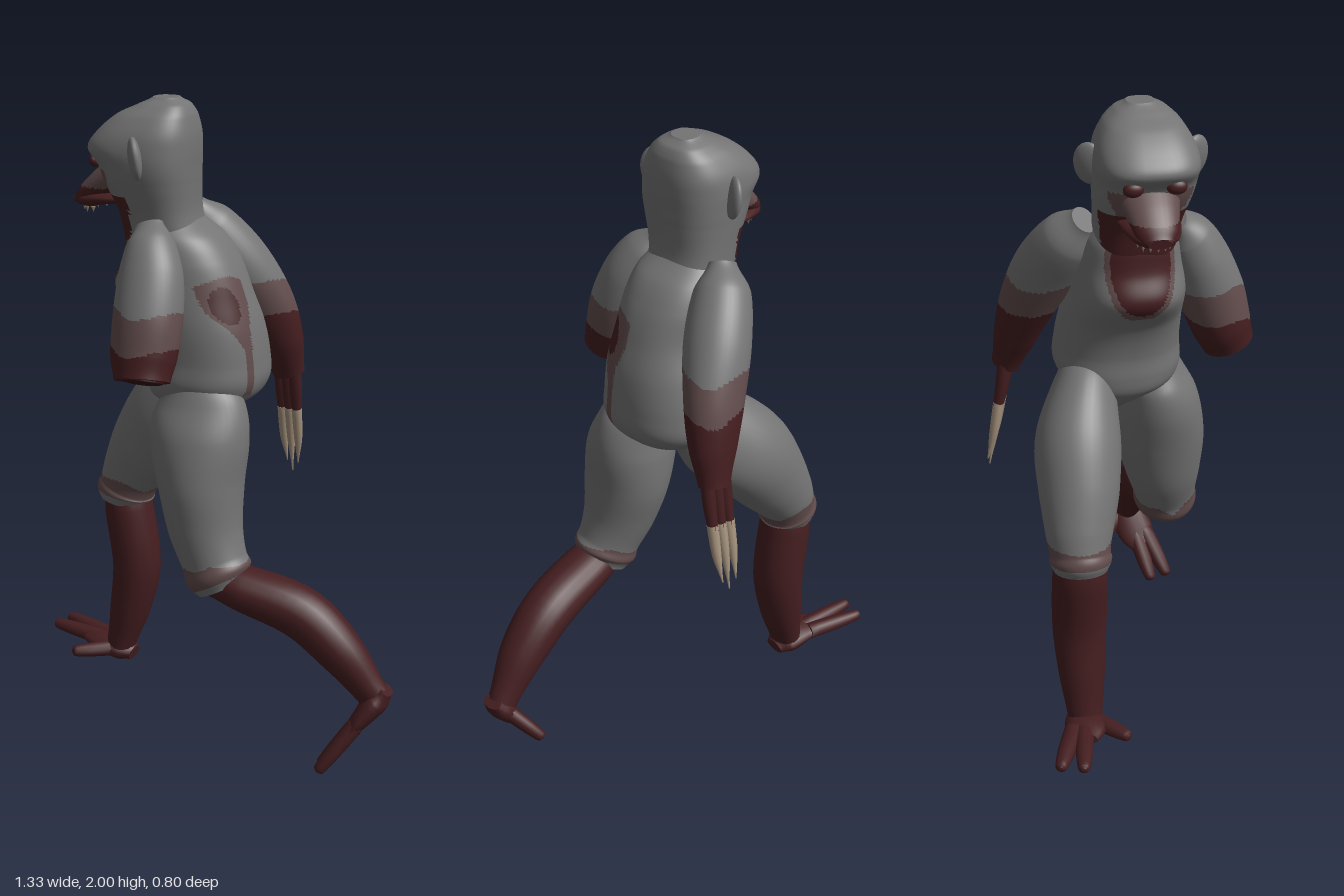
import * as THREE from 'three';

const mat = (name, color) => {
  const m = new THREE.MeshStandardMaterial({ color });
  m.name = name;
  return m;
};

export function createModel() {
  const model = new THREE.Group();
  const MATS = [
    mat('greySkin', 0x747474), mat('stainedSkin', 0x624c4c), mat('bloodRed', 0x451e20),
    mat('deepWound', 0x33100f), mat('bone', 0xa8957f),
  ];
  const [GREY, STAIN, RED, DEEP, BONE] = [0, 1, 2, 3, 4];
  const UP = new THREE.Vector3(0, 1, 0), Z = new THREE.Vector3(0, 0, 1);
  const smooth = THREE.MathUtils.smoothstep;

  // Smooth loft along points [x, y, z, r, rz]; rule(x, y, z) picks the colour of each face.
  function loft(name, pts, rule, { rings = 24, sides = 20, fixed = null, power = 1, parent = model } = {}) {
    const pick = typeof rule === 'function' ? rule : () => rule;
    const path = new THREE.CatmullRomCurve3(pts.map(p => new THREE.Vector3(p[0], p[1], p[2])), false, 'centripetal');
    const size = new THREE.SplineCurve(pts.map(p => new THREE.Vector2(p[3], p[4] ?? p[3])));
    const pos = [], faces = MATS.map(() => []);
    const bend = v => Math.sign(v) * Math.abs(v) ** power;
    for (let i = 0; i <= rings; i++) {
      const c = path.getPoint(i / rings), s = size.getPoint(i / rings);
      const T = fixed ?? path.getTangent(i / rings);
      const B = Z.clone().addScaledVector(T, -Z.dot(T)).normalize();
      const N = B.clone().cross(T);
      for (let j = 0; j < sides; j++) {
        const a = j / sides * Math.PI * 2;
        const p = c.clone().addScaledVector(N, bend(Math.cos(a)) * Math.max(s.x, 0.001))
          .addScaledVector(B, bend(Math.sin(a)) * Math.max(s.y, 0.001));
        pos.push(p.x, p.y, p.z);
      }
    }
    const add = (a, b, c) => {
      const m = k => (pos[a * 3 + k] + pos[b * 3 + k] + pos[c * 3 + k]) / 3;
      faces[pick(m(0), m(1), m(2))].push(a, b, c);
    };
    for (let i = 0; i < rings; i++) for (let j = 0; j < sides; j++) {
      const a = i * sides + j, b = i * sides + (j + 1) % sides;
      add(a, b, a + sides);
      add(b, b + sides, a + sides);
    }
    // flat end caps with their own corners
    for (const end of [0, rings]) {
      const base = pos.length / 3, c = path.getPoint(end / rings);
      for (let j = 0; j < sides; j++) for (let k = 0; k < 3; k++) pos.push(pos[(end * sides + j) * 3 + k]);
      pos.push(c.x, c.y, c.z);
      for (let j = 0; j < sides; j++) {
        const a = base + j, b = base + (j + 1) % sides;
        end ? add(a, b, base + sides) : add(b, a, base + sides);
      }
    }
    const g = new THREE.BufferGeometry();
    g.setAttribute('position', new THREE.Float32BufferAttribute(pos, 3));
    g.setIndex(faces.flat());
    let start = 0;
    faces.forEach((f, m) => { if (f.length) g.addGroup(start, f.length, m); start += f.length; });
    g.computeVertexNormals();
    const mesh = new THREE.Mesh(g, MATS);
    mesh.name = name;
    parent.add(mesh);
  }
  // Upright stack of sections [y, x0, x1, z0, z1]
  const stack = (name, rows, rule, opt) => loft(name,
    rows.map(([y, x0, x1, z0, z1]) => [(x0 + x1) / 2, y, (z0 + z1) / 2, (x1 - x0) / 2, (z1 - z0) / 2]),
    rule, { fixed: UP, ...opt });
  function ball(name, m, [x, y, z], [a, b, c], [rx, ry, rz] = [0, 0, 0]) {
    const mesh = new THREE.Mesh(new THREE.SphereGeometry(1, 20, 14), MATS[m]);
    mesh.position.set(x, y, z);
    mesh.scale.set(a, b, c);
    mesh.rotation.set(rx, ry, rz);
    mesh.name = name;
    model.add(mesh);
  }

  // Torso with an open chest and a stained wound running down the back
  stack('torso', [
    [1.02, -0.10, 0.03, -0.09, 0.01], [1.06, -0.14, 0.09, -0.125, 0.08], [1.1, -0.168, 0.16, -0.17, 0.16],
    [1.15, -0.175, 0.188, -0.198, 0.188],
    [1.22, -0.175, 0.187, -0.193, 0.185], [1.32, -0.205, 0.172, -0.175, 0.185], [1.43, -0.28, 0.137, -0.15, 0.18],
    [1.52, -0.25, 0.1, -0.14, 0.17], [1.59, -0.24, 0.05, -0.12, 0.155], [1.65, -0.22, -0.03, -0.08, 0.12],
  ], (x, y, z) => {
    if (x > 0) {
      if (((z - 0.12) / 0.036) ** 2 + ((y - 1.4) / 0.056) ** 2 < 1) return RED;
      const outer = 0.1 + 0.065 * smooth(y, 1.25, 1.4), inner = 0.068 - 0.03 * smooth(y, 1.3, 1.42);
      if (y > 1.12 && y < 1.485 - 6 * (z - 0.1) ** 2 && z > inner && z < outer) return STAIN;
    } else if (x < -0.15 && y > 1.38) {
      const d = ((z - 0.02) / 0.1) ** 2 + ((y - 1.54) / 0.16) ** 2;
      if (d < 0.8) return RED;
      if (d < 1.1) return STAIN;
    }
    return GREY;
  }, { rings: 110, sides: 112, power: 0.85 });

  // Head and neck
  stack('head', [
    [1.57, -0.24, 0.0, -0.1, 0.14], [1.66, -0.255, -0.02, -0.1, 0.155], [1.75, -0.295, -0.02, -0.105, 0.18],
    [1.8, -0.312, -0.018, -0.108, 0.19], [1.85, -0.347, -0.016, -0.11, 0.192], [1.9, -0.315, -0.018, -0.1, 0.18],
    [1.95, -0.255, -0.028, -0.07, 0.15], [1.98, -0.19, -0.045, -0.035, 0.115], [2.0, -0.15, -0.075, 0, 0.08],
  ], (x, y) => x < -0.19 && y < 1.71 ? RED : x < -0.26 && y < 1.79 ? STAIN : GREY,
  { rings: 56, sides: 48, power: 0.75 });
  // Muzzle, lip and teeth
  loft('muzzle', [[-0.25, 1.765, 0.035, 0.06, 0.09], [-0.32, 1.73, 0.035, 0.046, 0.075], [-0.37, 1.695, 0.035, 0.034, 0.062],
    [-0.395, 1.675, 0.035, 0.024, 0.045]], (x, y) => y < 1.722 ? RED : STAIN, { rings: 30, sides: 28 });
  loft('upperLip', [[-0.2, 1.695, 0.035, 0.015, 0.095], [-0.3, 1.69, 0.035, 0.022, 0.085], [-0.37, 1.682, 0.035, 0.027, 0.066],
    [-0.408, 1.678, 0.035, 0.014, 0.035]], RED);
  for (let i = 0; i < 7; i++) {
    const a = (i - 3) / 3 * 1.3;
    const tooth = new THREE.Mesh(new THREE.ConeGeometry(0.007, i % 4 === 1 ? 0.026 : 0.018, 6), MATS[BONE]);
    tooth.position.set(-0.32 - Math.cos(a) * 0.065, 1.654, 0.035 + Math.sin(a) * 0.05);
    tooth.rotation.z = Math.PI;
    tooth.name = 'tooth';
    model.add(tooth);
  }
  // Eyes and ears on both sides
  for (const s of [1, -1]) {
    ball('eye', RED, [-0.318, 1.81, 0.04 + s * 0.062], [0.018, 0.022, 0.03]);
    ball('ear', GREY, [-0.15, 1.835, 0.04 + s * 0.153], [0.02, 0.065, 0.048], [0, s * 0.5, 0.12]);
  }

  // Arms: a severed left arm and a clawed right arm
  const sleeve = (x, y, z) => {
    const w = 0.012 * Math.sin(x * 30 + z * 20);
    return y < 1.3 + w ? RED : y < 1.41 + w ? STAIN : GREY;
  };
  loft('leftArmStump', [[-0.125, 1.635, 0.15, 0.045, 0.03], [-0.105, 1.58, 0.185, 0.075, 0.072], [-0.088, 1.5, 0.225, 0.098, 0.09],
    [-0.08, 1.38, 0.268, 0.105, 0.1], [-0.08, 1.27, 0.302, 0.1, 0.092], [-0.075, 1.205, 0.327, 0.085, 0.08]],
    sleeve, { rings: 90, sides: 40 });
  ball('stumpFlesh', DEEP, [-0.075, 1.206, 0.327], [0.065, 0.012, 0.06], [-0.35, 0, 0]);
  loft('rightArm', [[-0.1, 1.645, -0.12, 0.045, 0.04], [-0.06, 1.58, -0.155, 0.085], [0.02, 1.46, -0.21, 0.1],
    [0.09, 1.32, -0.262, 0.098, 0.085], [0.13, 1.2, -0.295, 0.08, 0.068], [0.155, 1.085, -0.325, 0.052, 0.045]],
    sleeve, { rings: 90, sides: 40 });
  for (const d of [-1, 0, 1]) {
    const x = 0.15 + d * 0.027, z = -0.33 + d * 0.008;
    loft('finger', [[x, 1.11, z + 0.005, 0.021], [x, 1.03, z - 0.005, 0.021], [x, 0.94, z - 0.022, 0.016]], RED, { rings: 8, sides: 10 });
    loft('claw', [[x, 0.96, z - 0.018, 0.018], [x, 0.85, z - 0.038, 0.014], [x - d * 0.006, 0.73 + Math.abs(d) * 0.03, z - 0.058, 0.002]],
      BONE, { rings: 8, sides: 8 });
  }

  // Legs: thigh with a torn cuff, shin, sole and three toes
  function leg(side, thigh, shin, sole, toes) {
    const g = new THREE.Group();
    g.name = side + 'Leg';
    model.add(g);
    const knee = thigh[thigh.length - 1];
    loft(side + 'Thigh', thigh, (x, y, z) => {
      const d = Math.hypot(x - knee[0], y - knee[1], z - knee[2]), wave = 0.008 * Math.sin(z * 60);
      return d > 0.098 && d < 0.132 + wave && y < knee[1] + 0.09 ? STAIN : GREY;
    }, { rings: 70, sides: 40, parent: g });
    loft(side + 'Shin', shin, RED, { parent: g });
    loft(side + 'Sole', sole, RED, { rings: 12, sides: 12, parent: g });
    for (const [a, b] of toes) {
      const mid = a.map((v, i) => v * 0.4 + b[i] * 0.6);
      const tip = a.map((v, i) => v * 0.04 + b[i] * 0.96);
      loft(side + 'Toe', [[...a, 0.026, 0.03], [...mid, 0.023, 0.027], [...tip, 0.017, 0.018], [...b, 0.006]], RED,
        { rings: 12, sides: 10, parent: g });
    }
  }
  leg('left',
    [[0.0, 1.17, 0.09, 0.09, 0.08], [0.02, 1.08, 0.11, 0.145, 0.1], [0.028, 0.98, 0.13, 0.155, 0.13], [0.04, 0.84, 0.145, 0.132, 0.14],
      [0.06, 0.71, 0.16, 0.115, 0.12], [0.095, 0.61, 0.175, 0.102, 0.1], [0.112, 0.57, 0.18, 0.107, 0.102], [0.13, 0.535, 0.182, 0.084, 0.084]],
    [[0.1, 0.56, 0.182, 0.06, 0.07], [0.2, 0.535, 0.182, 0.07, 0.085], [0.38, 0.478, 0.172, 0.08, 0.085],
      [0.5, 0.378, 0.17, 0.072, 0.075], [0.61, 0.24, 0.16, 0.05, 0.045]],
    [[0.65, 0.265, 0.16, 0.022, 0.035], [0.62, 0.225, 0.162, 0.038, 0.06], [0.57, 0.155, 0.185, 0.028, 0.065], [0.54, 0.115, 0.21, 0.018, 0.05]],
    [[[0.57, 0.155, 0.215], [0.472, 0.012, 0.28]], [[0.57, 0.155, 0.18], [0.462, 0.005, 0.22]], [[0.615, 0.22, 0.14], [0.55, 0.12, 0.04]]]);
  leg('right',
    [[0.02, 1.16, -0.08, 0.09, 0.07], [-0.07, 1.075, -0.12, 0.14, 0.1], [-0.18, 0.965, -0.16, 0.147, 0.13], [-0.27, 0.84, -0.175, 0.13, 0.122],
      [-0.335, 0.735, -0.188, 0.104, 0.102], [-0.358, 0.68, -0.19, 0.094, 0.092], [-0.365, 0.66, -0.19, 0.097, 0.095], [-0.37, 0.63, -0.19, 0.082, 0.082]],
    [[-0.365, 0.68, -0.19, 0.07], [-0.355, 0.6, -0.19, 0.08, 0.085], [-0.33, 0.4, -0.19, 0.08, 0.084],
      [-0.355, 0.24, -0.188, 0.068, 0.072], [-0.39, 0.1, -0.185, 0.048, 0.055]],
    [[-0.34, 0.075, -0.18, 0.024, 0.035], [-0.38, 0.085, -0.185, 0.038, 0.06], [-0.45, 0.095, -0.195, 0.032, 0.065], [-0.5, 0.1, -0.22, 0.02, 0.055]],
    [[[-0.46, 0.1, -0.235], [-0.645, 0.108, -0.31]], [[-0.46, 0.1, -0.2], [-0.665, 0.108, -0.242]], [[-0.4, 0.09, -0.165], [-0.52, 0.095, -0.07]]]);

  return model;
}
